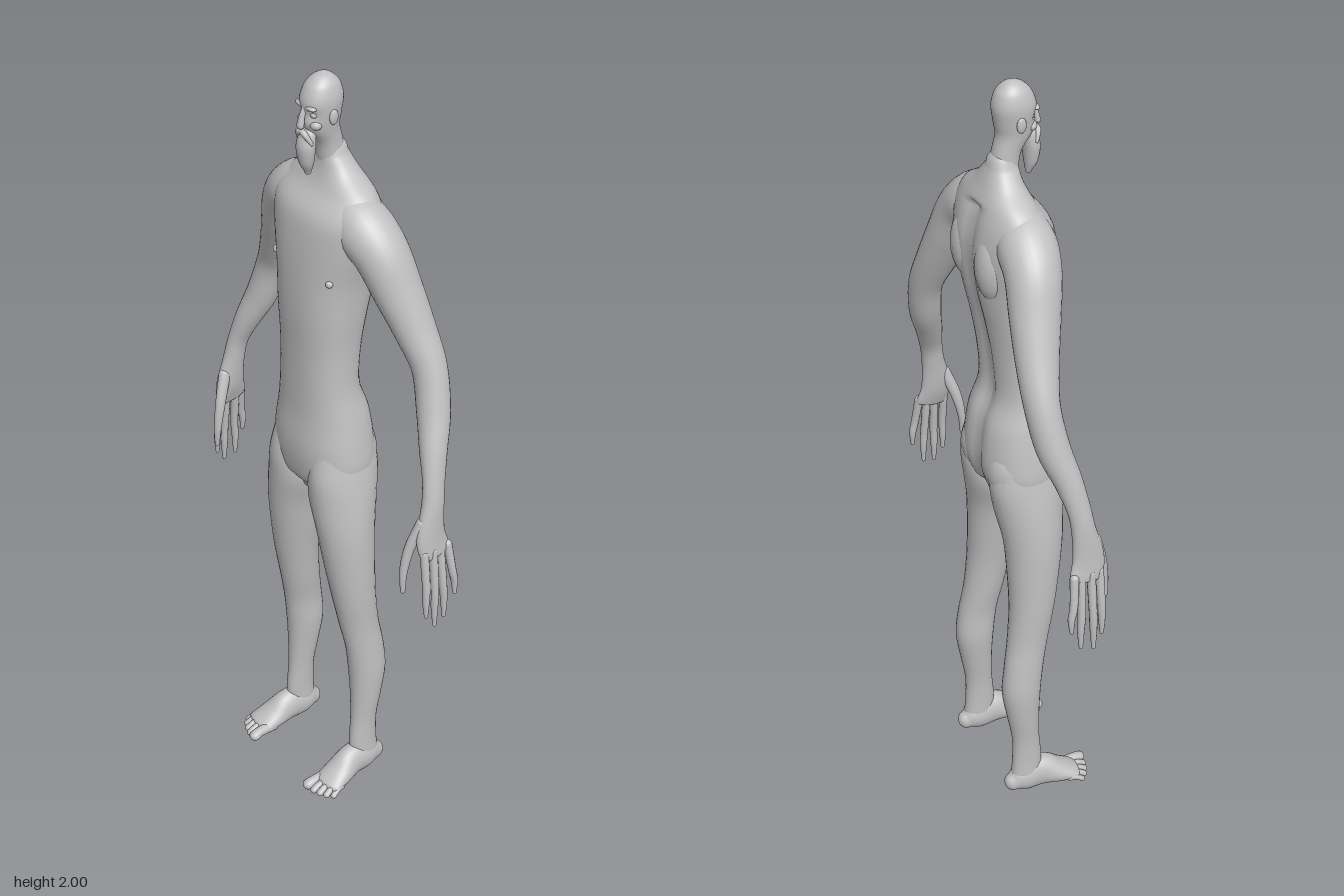
import * as THREE from 'three';

const skin = new THREE.MeshStandardMaterial({ color: 0xc0c0c0 });
skin.name = 'skin grey';
const X = new THREE.Vector3(1, 0, 0), Z = new THREE.Vector3(0, 0, 1);

// Smooth loft through sections [x, y, z, ru, rv]; level keeps rings horizontal,
// side is the direction of ru, power squares the ring off, mod nudges vertices.
function loft(name, sections, { level = false, side = X, power = 2, mod, seg = 28, steps = 5 } = {}) {
  const path = new THREE.CatmullRomCurve3(sections.map(s => new THREE.Vector3(s[0], s[1], s[2])), false, 'catmullrom');
  const size = new THREE.CatmullRomCurve3(sections.map(s => new THREE.Vector3(s[3], s[4], 0)), false, 'catmullrom');
  const rings = [], n = (sections.length - 1) * steps;
  for (let i = 0; i <= n; i++) {
    const c = path.getPoint(i / n), r = size.getPoint(i / n);
    const t = path.getTangent(i / n);
    if (level) t.set(0, Math.sign(t.y) || 1, 0);
    rings.push({ c, t, ru: Math.max(r.x, 0), rv: Math.max(r.y, 0) });
  }
  // rounded ends
  const dome = (ring, dir) => [1, 2, 3, 4].map(k => {
    const a = k * Math.PI / 8, h = Math.min(ring.ru, ring.rv) * Math.sin(a) * dir;
    return { c: ring.c.clone().addScaledVector(ring.t, h), t: ring.t, ru: ring.ru * Math.cos(a), rv: ring.rv * Math.cos(a) };
  });
  const all = [...dome(rings[0], -1).reverse(), ...rings, ...dome(rings[n], 1)];
  const pos = [], index = [];
  const bend = v => Math.sign(v) * Math.abs(v) ** (2 / power);
  all.forEach(({ c, t, ru, rv }, i) => {
    const u = side.clone().addScaledVector(t, -side.dot(t)).normalize();
    const v = t.clone().cross(u);
    for (let j = 0; j < seg; j++) {
      const a = j / seg * Math.PI * 2;
      const p = c.clone().addScaledVector(u, ru * bend(Math.cos(a))).addScaledVector(v, rv * bend(Math.sin(a)));
      if (mod) mod(p, c);
      pos.push(p.x, p.y, p.z);
      if (i < all.length - 1) {
        const k = (j + 1) % seg, A = i * seg, B = A + seg;
        index.push(A + j, A + k, B + k, A + j, B + k, B + j);
      }
    }
  });
  const g = new THREE.BufferGeometry();
  g.setAttribute('position', new THREE.Float32BufferAttribute(pos, 3));
  g.setIndex(index);
  g.computeVertexNormals();
  const mesh = new THREE.Mesh(g, skin);
  mesh.name = name;
  return mesh;
}

function blob(name, x, y, z, rx, ry, rz) {
  const mesh = new THREE.Mesh(new THREE.SphereGeometry(1, 16, 12), skin);
  mesh.name = name;
  mesh.position.set(x, y, z);
  mesh.scale.set(rx, ry, rz);
  return mesh;
}

// Torso with a groove down the spine
function makeTorso() {
  const rows = [
    [0.90, -0.015, 0.07, 0.05], [0.93, -0.016, 0.12, 0.08], [0.98, -0.02, 0.139, 0.095], [1.04, -0.02, 0.135, 0.098],
    [1.12, -0.018, 0.122, 0.09], [1.20, -0.006, 0.108, 0.077], [1.30, -0.008, 0.106, 0.08], [1.40, -0.014, 0.114, 0.09],
    [1.50, -0.025, 0.124, 0.1], [1.60, -0.033, 0.146, 0.101], [1.67, -0.035, 0.152, 0.089], [1.72, -0.045, 0.125, 0.063],
    [1.76, -0.045, 0.07, 0.046], [1.80, -0.04, 0.036, 0.034]];
  return loft('torso', rows.map(([y, z, rx, rz]) => [0, y, z, rx, rz]), {
    level: true, power: 2.3, seg: 48,
    mod: (p, c) => {
      if (p.z < c.z && p.y < 1.72) p.z += 0.016 * Math.exp(-((p.x / 0.025) ** 2));
    },
  });
}

// Neck, skull and face
function makeHead() {
  const head = new THREE.Group();
  head.name = 'head';
  const rows = [
    [1.78, -0.038, 0.034, 0.034], [1.83, -0.028, 0.032, 0.034], [1.87, -0.01, 0.036, 0.043], [1.90, -0.008, 0.04, 0.049],
    [1.94, -0.01, 0.043, 0.052], [1.97, -0.012, 0.036, 0.043], [1.985, -0.013, 0.027, 0.031], [1.995, -0.014, 0.015, 0.017],
    [2.0, -0.014, 0, 0]];
  head.add(loft('skull', rows.map(([y, z, rx, rz]) => [0, y, z, rx, rz]), {
    level: true, power: 2.1, seg: 40,
    mod: p => {
      const d = ((Math.abs(p.x) - 0.019) ** 2 + (p.y - 1.912) ** 2) / 0.00016;
      if (p.z > 0) p.z -= 0.01 * Math.exp(-d);
    },
  }));
  head.add(loft('nose', [[0, 1.93, 0.036, 0.006, 0.006], [0, 1.905, 0.045, 0.007, 0.007], [0, 1.886, 0.049, 0.01, 0.008]], { seg: 14 }));
  head.add(loft('beard', [[0, 1.86, 0.028, 0.022, 0.016], [0, 1.83, 0.034, 0.026, 0.02], [0, 1.79, 0.033, 0.02, 0.016],
    [0, 1.764, 0.028, 0.008, 0.008]], { level: true, seg: 20 }));
  for (const s of [1, -1]) {
    head.add(blob('brow', s * 0.017, 1.931, 0.033, 0.017, 0.006, 0.01));
    head.add(blob('eye', s * 0.018, 1.912, 0.025, 0.009, 0.007, 0.008));
    head.add(blob('cheek', s * 0.022, 1.888, 0.022, 0.014, 0.012, 0.014));
    head.add(blob('ear', s * 0.042, 1.905, -0.012, 0.006, 0.019, 0.012));
    head.add(loft('moustache', [[0, 1.871, 0.045, 0.007, 0.007], [s * 0.012, 1.866, 0.045, 0.007, 0.007],
      [s * 0.024, 1.845, 0.036, 0.004, 0.005]], { side: Z, seg: 12 }));
  }
  return head;
}

// Arm and palm in one sweep, then fingers and thumb
function makeArm(s) {
  const arm = new THREE.Group();
  arm.name = s > 0 ? 'leftArm' : 'rightArm';
  const flip = rows => rows.map(([x, ...rest]) => [s * x, ...rest]);
  arm.add(loft('armAndPalm', flip([
    [0.07, 1.675, -0.035, 0.06, 0.062], [0.12, 1.645, -0.04, 0.07, 0.068], [0.168, 1.60, -0.05, 0.066, 0.062],
    [0.207, 1.52, -0.066, 0.06, 0.055], [0.25, 1.43, -0.083, 0.051, 0.047], [0.293, 1.34, -0.094, 0.042, 0.042],
    [0.325, 1.24, -0.083, 0.04, 0.04], [0.355, 1.16, -0.06, 0.034, 0.032], [0.378, 1.09, -0.044, 0.029, 0.023],
    [0.388, 1.03, -0.035, 0.03, 0.022], [0.395, 0.95, -0.025, 0.041, 0.019], [0.404, 0.90, -0.034, 0.044, 0.013]]), { side: Z }));
  // start z, tip z, tip y
  const fingers = [[0.0, 0.002, 0.73], [-0.024, -0.022, 0.695], [-0.048, -0.054, 0.705], [-0.068, -0.082, 0.765]];
  fingers.forEach(([z0, z1, y1], i) => {
    const y0 = 0.91, mid = (y0 + y1) / 2, x = 0.404 + (i % 2) * 0.004;
    arm.add(loft('finger', flip([[x, y0, z0, 0.011, 0.011], [x + 0.012, mid, (z0 + z1) / 2, 0.01, 0.01],
      [x + 0.014, (mid + y1) / 2, z1, 0.009, 0.009], [x + 0.016, y1, z1, 0.005, 0.005]]), { side: Z, seg: 12 }));
  });
  arm.add(loft('thumb', flip([[0.388, 0.99, -0.005, 0.016, 0.014], [0.374, 0.92, 0.02, 0.014, 0.012],
    [0.37, 0.85, 0.034, 0.01, 0.01], [0.372, 0.795, 0.036, 0.006, 0.006]]), { side: Z, seg: 14 }));
  return arm;
}

// Leg, foot and five toes
function makeLeg(s) {
  const leg = new THREE.Group();
  leg.name = s > 0 ? 'leftLeg' : 'rightLeg';
  const flip = rows => rows.map(([x, ...rest]) => [s * x, ...rest]);
  leg.add(loft('legColumn', flip([
    [0.072, 1.03, -0.022, 0.058, 0.085], [0.076, 0.96, -0.018, 0.069, 0.093], [0.08, 0.89, -0.014, 0.077, 0.087],
    [0.097, 0.80, -0.01, 0.069, 0.075], [0.107, 0.70, -0.014, 0.062, 0.066], [0.115, 0.60, -0.022, 0.054, 0.058],
    [0.12, 0.50, -0.036, 0.046, 0.053], [0.127, 0.42, -0.05, 0.042, 0.052], [0.129, 0.34, -0.058, 0.043, 0.051],
    [0.131, 0.26, -0.054, 0.037, 0.043], [0.132, 0.18, -0.047, 0.029, 0.037], [0.133, 0.11, -0.044, 0.027, 0.04],
    [0.134, 0.06, -0.046, 0.028, 0.042]]), { level: true }));
  const ground = p => { p.y = Math.max(p.y, 0); };
  leg.add(loft('foot', flip([
    [0.134, 0.034, -0.085, 0.022, 0.026], [0.134, 0.042, -0.055, 0.031, 0.044], [0.136, 0.046, -0.005, 0.033, 0.047],
    [0.141, 0.031, 0.04, 0.04, 0.032], [0.146, 0.018, 0.082, 0.042, 0.018]]), { mod: ground }));
  // start x, tip x, tip z, radius
  const toes = [[0.118, 0.116, 0.123, 0.015], [0.138, 0.138, 0.121, 0.01], [0.153, 0.156, 0.115, 0.0095],
    [0.167, 0.172, 0.106, 0.009], [0.178, 0.185, 0.093, 0.008]];
  for (const [x0, x1, z, r] of toes) {
    leg.add(loft('toe', flip([[x0, 0.017, 0.06, r, r], [(x0 + x1) / 2, 0.019, z - 0.02, r * 0.9, r * 0.9],
      [x1, r, z, r, r * 0.9]]), { seg: 14, mod: ground }));
  }
  return leg;
}

export function createModel() {
  const model = new THREE.Group();
  model.name = 'figure';
  model.add(makeTorso(), makeHead());
  for (const s of [1, -1]) {
    model.add(makeArm(s), makeLeg(s));
    model.add(blob('nipple', s * 0.098, 1.52, 0.044, 0.009, 0.009, 0.009));
    model.add(blob('shoulderBlade', s * 0.06, 1.58, -0.095, 0.045, 0.09, 0.042));
    model.add(blob('buttock', s * 0.065, 1.0, -0.055, 0.06, 0.085, 0.06));
  }
  return model;
}
